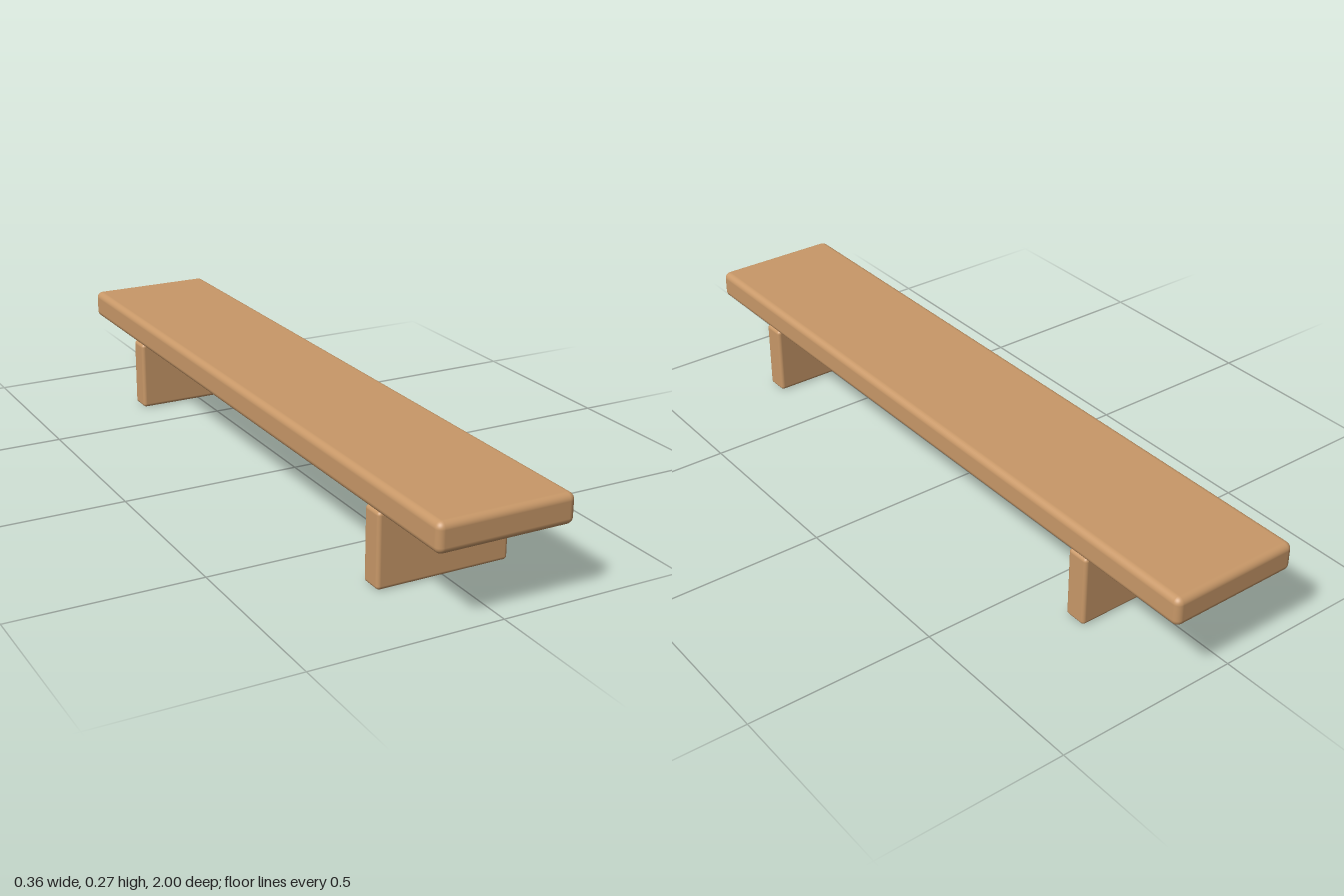
import * as THREE from 'three';
import { RoundedBoxGeometry } from 'three/addons/geometries/RoundedBoxGeometry.js';

export function createModel() {
  const model = new THREE.Group();
  model.name = 'bench';
  const wood = new THREE.MeshStandardMaterial({ color: 0xc89868 });

  // Softly rounded wooden block
  const addBlock = (name, width, height, depth, radius, y, z) => {
    const mesh = new THREE.Mesh(new RoundedBoxGeometry(width, height, depth, 4, radius), wood);
    mesh.name = name;
    mesh.position.set(0, y, z);
    model.add(mesh);
  };

  // Long seat plank
  addBlock('seat', 0.364, 0.078, 2, 0.018, 0.231, 0);

  // Slab legs; the front one sits a little nearer its end
  addBlock('frontLeg', 0.364, 0.198, 0.064, 0.01, 0.099, 0.72);
  addBlock('backLeg', 0.364, 0.198, 0.064, 0.01, 0.099, -0.66);

  return model;
}
